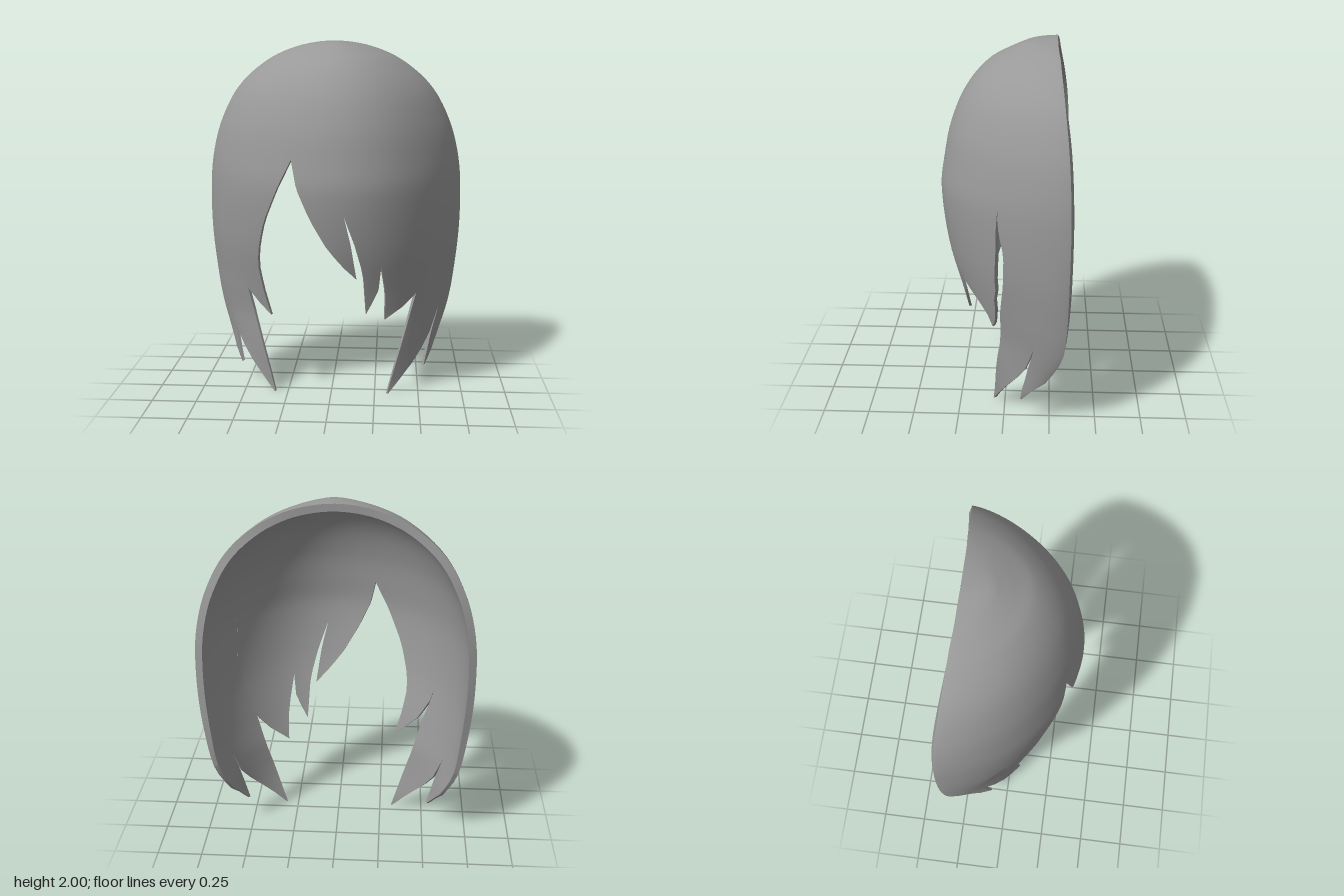
import * as THREE from 'three';
import { mergeGeometries } from 'three/addons/utils/BufferGeometryUtils.js';

const { clamp, smoothstep } = THREE.MathUtils;

// Shell sections by height: [y, half width, front z, back z]
const SECTIONS = [
  [2, 0, -0.26, -0.265], [1.99, 0.12, -0.125, -0.267], [1.97, 0.21, -0.07, -0.27], [1.94, 0.295, -0.005, -0.278],
  [1.89, 0.39, 0.09, -0.285], [1.74, 0.56, 0.22, -0.305], [1.55, 0.665, 0.3, -0.325], [1.38, 0.715, 0.335, -0.335],
  [1.2, 0.738, 0.355, -0.34], [0.9, 0.737, 0.315, -0.338], [0.6, 0.705, 0.235, -0.33],
  [0.45, 0.675, 0.2, -0.31], [0.3, 0.62, 0.19, -0.24], [0.13, 0.55, 0.15, -0.13], [0, 0.43, 0.12, 0],
];
const depth = (y) => Math.sqrt(Math.max(0, 2 - y));
const Q = SECTIONS.map((s) => depth(s[0]));

// Smooth interpolation of one section column
function section(q, k) {
  const n = Q.length;
  let i = 0;
  while (i < n - 2 && q > Q[i + 1]) i++;
  const slope = (j) => {
    const a = Math.max(0, j - 1), b = Math.min(n - 1, j + 1);
    return (SECTIONS[b][k] - SECTIONS[a][k]) / (Q[b] - Q[a]);
  };
  const h = Q[i + 1] - Q[i], t = (q - Q[i]) / h, t2 = t * t, t3 = t2 * t;
  return (2 * t3 - 3 * t2 + 1) * SECTIONS[i][k] + (t3 - 2 * t2 + t) * h * slope(i)
    + (3 * t2 - 2 * t3) * SECTIONS[i + 1][k] + (t3 - t2) * h * slope(i + 1);
}

// Point on the hair surface: t is the angle around the head, q the depth below the crown.
// The fringe is swept, so the front is slightly fuller on the left.
function surface(t, q) {
  const zb = section(q, 3), zf = section(q, 2), cos = Math.max(0, Math.cos(t));
  const c = Math.pow(cos, 1.28) + 0.1 * Math.sin(t) * cos ** 4;
  return new THREE.Vector3(section(q, 1) * Math.sin(t), 2 - q * q, zb + (zf - zb) * c);
}
function normalAt(t, q) {
  const e = 0.01, q0 = Math.max(0.0002, q - e);
  const du = surface(t + e, q).sub(surface(t - e, q));
  const dv = surface(t, q0).sub(surface(t, q + e));
  return du.cross(dv).normalize();
}

// The shell is thick at the back rim and thin at the fringe and tips
const rim = (t, y) => Math.sin(t) ** 4 * smoothstep(y, 0.1, 0.9);

// Edge curves are [x, y] lists running downward
function edgeX(edge, y) {
  if (typeof edge === 'number') return edge;
  let i = 0;
  while (i < edge.length - 2 && y < edge[i + 1][1]) i++;
  const [x0, y0] = edge[i], [x1, y1] = edge[i + 1];
  return x0 + (x1 - x0) * clamp((y0 - y) / (y0 - y1), 0, 1);
}

function grid(nu, nv, point, normal) {
  const pos = [], nor = [], idx = [];
  for (let j = 0; j <= nv; j++) for (let i = 0; i <= nu; i++) {
    pos.push(...point(i, j).toArray());
    if (normal) nor.push(...normal(i, j).toArray());
    if (i < nu && j < nv) {
      const a = j * (nu + 1) + i, b = a + nu + 1;
      idx.push(a, a + 1, b + 1, a, b + 1, b);
    }
  }
  const g = new THREE.BufferGeometry();
  g.setAttribute('position', new THREE.Float32BufferAttribute(pos, 3));
  g.setIndex(idx);
  if (normal) g.setAttribute('normal', new THREE.Float32BufferAttribute(nor, 3));
  else g.computeVertexNormals();
  return g;
}

// A thick piece of the shell between two edge curves.
// It can be lifted outward below liftFrom and pulled back below pullFrom.
function panel(top, bottom, a, b, { lift = 0, liftFrom = 1.25, pull = 0, pullFrom = 1.25, nu = 28 } = {}) {
  const q0 = Math.max(0.0005, depth(top)), q1 = depth(bottom);
  const nv = Math.max(4, Math.ceil((q1 - q0) * 32));
  const outer = [], inner = [], normals = [];
  for (let j = 0; j <= nv; j++) {
    const q = q1 + (q0 - q1) * (j / nv), y = 2 - q * q, w = section(q, 1);
    const angle = (e) => Math.asin(clamp(edgeX(e, y) / w, -1, 1));
    const ta = angle(a), tb = angle(b);
    const raise = lift * smoothstep(liftFrom - y, 0, 0.4);
    const draw = pull * smoothstep(pullFrom - y, 0, 0.4);
    outer.push([]); inner.push([]); normals.push([]);
    for (let i = 0; i <= nu; i++) {
      const t = ta + (tb - ta) * (i / nu), n = normalAt(t, q), p = surface(t, q), r = rim(t, y);
      p.z -= draw * (p.z - section(q, 3));
      p.addScaledVector(n, raise * Math.abs(Math.sin(t)));
      const back = p.clone().addScaledVector(n, -0.014 - 0.026 * r);
      back.z -= 0.014 * r * r * smoothstep(q, 0.1, 0.7);
      normals[j].push(n);
      outer[j].push(p);
      inner[j].push(back);
    }
  }
  return mergeGeometries([
    grid(nu, nv, (i, j) => outer[j][i], (i, j) => normals[j][i]),
    grid(nu, nv, (i, j) => inner[j][nu - i], (i, j) => normals[j][nu - i].clone().negate()),
    grid(1, nv, (i, j) => (i ? outer : inner)[j][0]),
    grid(1, nv, (i, j) => (i ? inner : outer)[j][nu]),
  ]);
}

export function createModel() {
  const group = new THREE.Group();
  const hair = new THREE.MeshStandardMaterial({ color: 0x999999, side: THREE.DoubleSide });
  hair.name = 'grey hair';
  const add = (name, ...args) => {
    const mesh = new THREE.Mesh(panel(...args), hair);
    mesh.name = name;
    group.add(mesh);
  };
  const mirror = (edge) => (typeof edge === 'number' ? -edge : edge.map(([x, y]) => [-x, y]));
  const FAR = 9; // clamps to the back edge

  // Crown
  add('crown', 2, 1.38, -FAR, FAR, { nu: 64 });

  // Parting edges of the fringe
  const partRight = [[-0.2, 1.38], [-0.28, 1.22], [-0.36, 1.03], [-0.39, 0.9], [-0.4, 0.78], [-0.37, 0.63], [-0.33, 0.48]];
  const partLeft = [[-0.2, 1.38], [-0.17, 1.23], [-0.1, 1.07], [-0.01, 0.91], [0.07, 0.81], [0.15, 0.73]];
  add('rightTemple', 1.38, 1.0, -FAR, partRight);
  add('leftTemple', 1.38, 1.25, partLeft, FAR, { nu: 48 });

  // Right fringe lock
  add('rightFringe', 1.0, 0.48, [[-0.6, 1.0], [-0.57, 0.88], [-0.53, 0.75], [-0.45, 0.6], [-0.33, 0.48]], partRight,
    { lift: 0.02, liftFrom: 1.0 });

  // Left fringe with three tips
  const outerEdge = [[0.59, 1.25], [0.585, 1.0], [0.56, 0.8], [0.5, 0.65], [0.43, 0.55], [0.3, 0.45]];
  const innerEdge = [[0.08, 1.1], [0.14, 0.93], [0.185, 0.76], [0.2, 0.52]];
  const raised = { lift: 0.026 };
  add('leftFringe', 1.25, 1.1, partLeft, outerEdge, raised);
  add('innerFringeLock', 1.1, 0.73, partLeft, [[0.08, 1.1], [0.12, 0.93], [0.15, 0.73]], raised);
  add('outerFringe', 1.1, 0.8, innerEdge, outerEdge, raised);
  add('middleFringeLock', 0.8, 0.52, innerEdge, [[0.28, 0.8], [0.265, 0.65], [0.2, 0.52]], raised);
  add('outerFringeLock', 0.8, 0.45, [[0.28, 0.8], [0.305, 0.62], [0.3, 0.45]], outerEdge,
    { ...raised, pull: 0.2, pullFrom: 0.8 });

  // Long side locks, each split into a front and a back tip
  const sideFront = [[0.59, 1.25], [0.59, 1.0], [0.55, 0.8], [0.49, 0.63], [0.43, 0.4], [0.32, 0]];
  const sideLocks = [
    ['SideLock', 0.48, sideFront, FAR],
    ['SideFrontTip', 0.005, sideFront, [[0.62, 0.48], [0.565, 0.32], [0.5, 0.21], [0.325, 0]], 0.48],
    ['SideBackTip', 0.13, [[0.62, 0.48], [0.575, 0.32], [0.535, 0.13]], [[0.7, 0.48], [0.63, 0.3], [0.54, 0.13]], 0.48],
  ];
  for (const [name, bottom, front, back, top] of sideLocks) {
    add('left' + name, top ?? 1.25, bottom, front, back, { pull: 0.1, pullFrom: 1.25 });
    add('right' + name, top ?? 1.0, bottom, mirror(back), mirror(front), { pull: 0.1, pullFrom: 1.0 });
  }
  return group;
}
